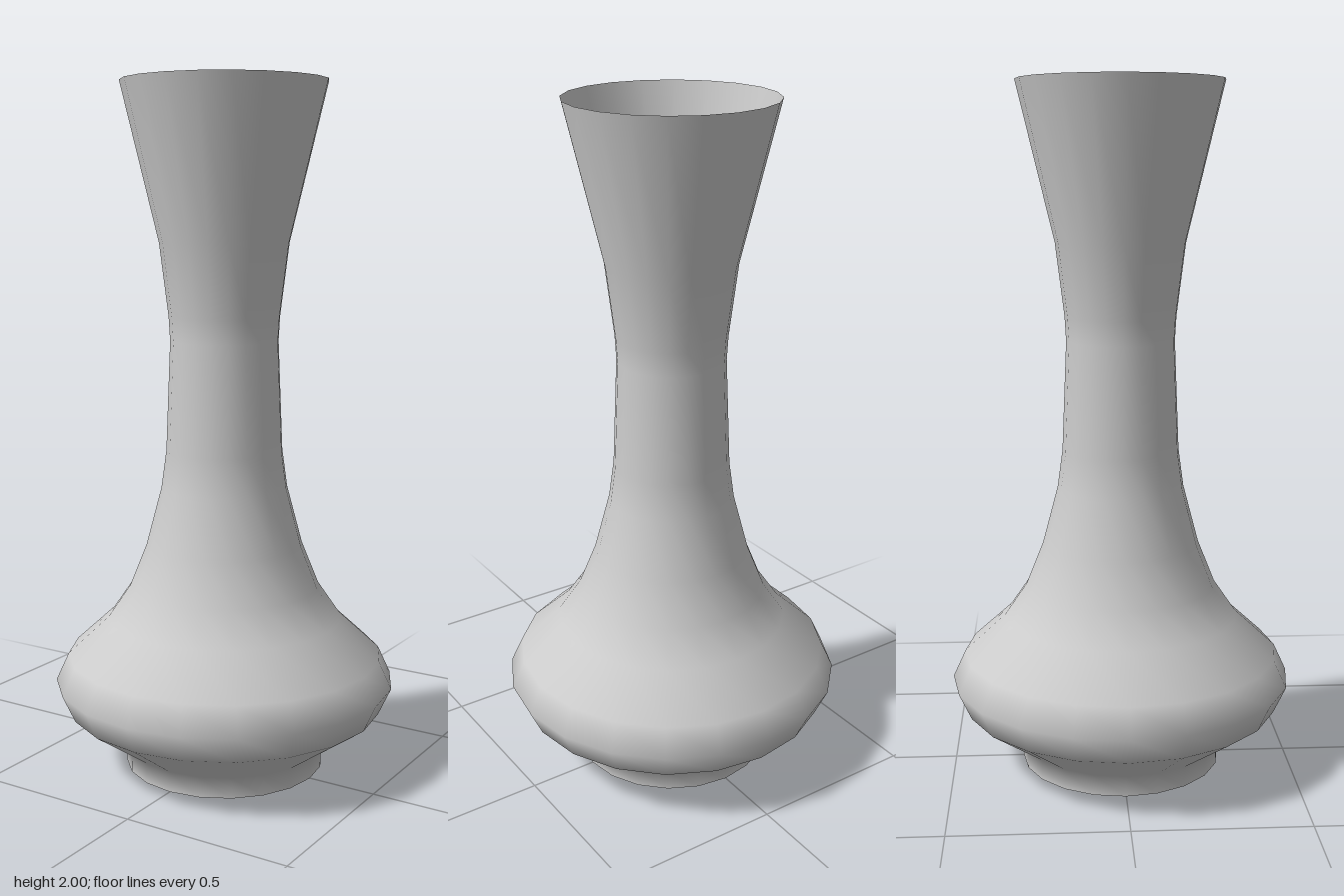
import * as THREE from 'three';

const SIDES = 20;

export function createModel() {
  const group = new THREE.Group();
  group.name = 'vase';
  const material = new THREE.MeshStandardMaterial({ color: 0xcccccc, side: THREE.DoubleSide });

  const add = (name, geometry) => {
    const mesh = new THREE.Mesh(geometry, material);
    mesh.name = name;
    group.add(mesh);
    return mesh;
  };

  // Thin wall from foot to flared rim: [radius, height]
  const profile = [
    [0.295, 0], [0.295, 0.06],                                       // foot
    [0.465, 0.18], [0.502, 0.26], [0.465, 0.34],                     // belly
    [0.345, 0.45], [0.28, 0.545], [0.23, 0.67], [0.185, 0.84],       // shoulder
    [0.17, 0.95], [0.157, 1.27], [0.161, 1.34],                      // neck
    [0.187, 1.55], [0.295, 2],                                       // flared mouth
  ].map(([r, y]) => new THREE.Vector2(r, y));
  add('wall', new THREE.LatheGeometry(profile, SIDES));

  // Flat floor closing the foot, facing down
  add('base', new THREE.CircleGeometry(0.295, SIDES).rotateX(Math.PI / 2));

  return group;
}
